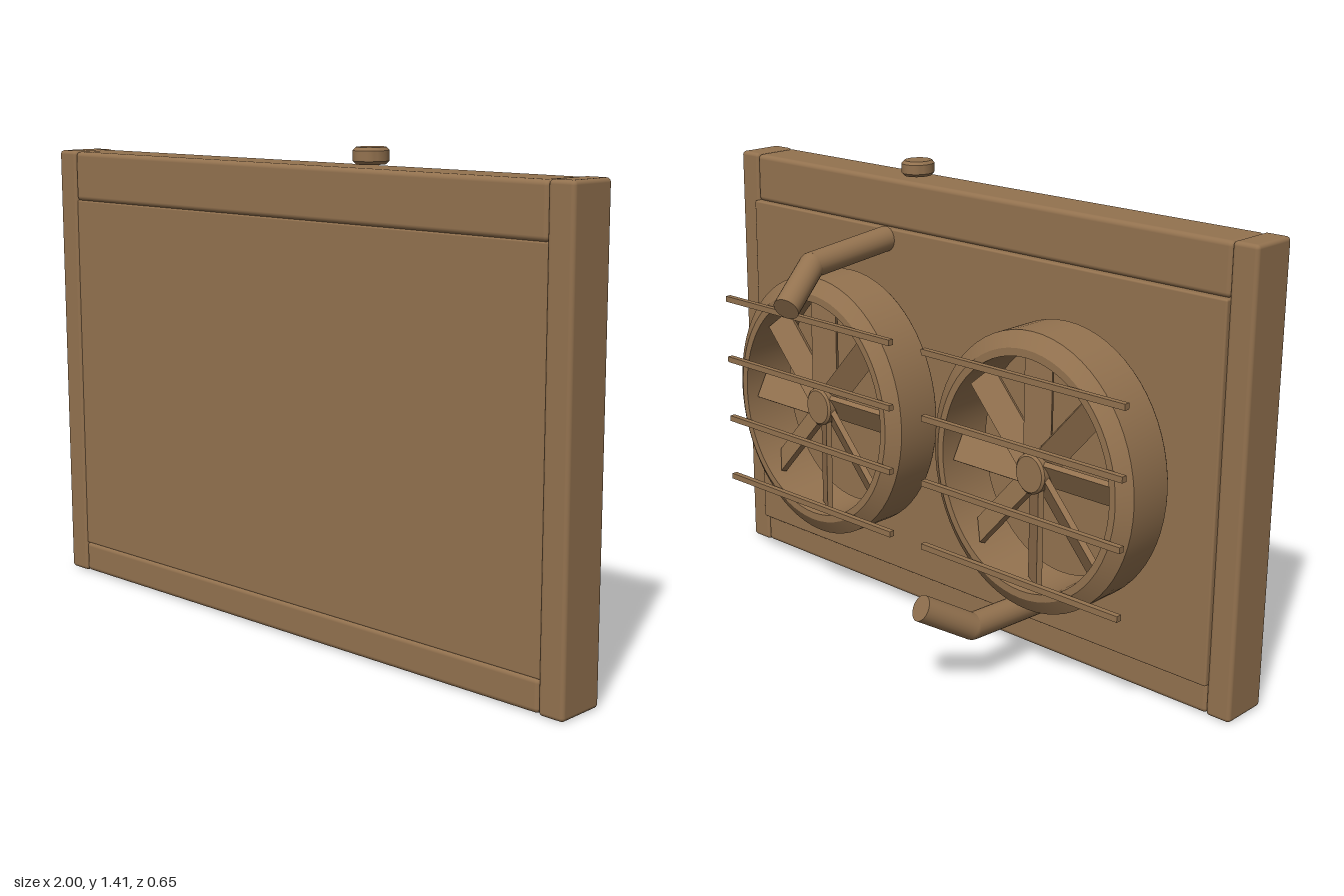
import * as THREE from 'three';
import { toCreasedNormals } from 'three/addons/utils/BufferGeometryUtils.js';
import { RoundedBoxGeometry } from 'three/addons/geometries/RoundedBoxGeometry.js';

const brown = new THREE.MeshStandardMaterial({ color: 0x93724f });
brown.name = 'brown';

function add(parent, name, geometry, x = 0, y = 0, z = 0) {
  const mesh = new THREE.Mesh(geometry, brown);
  mesh.name = name;
  mesh.position.set(x, y, z);
  parent.add(mesh);
  return mesh;
}

// Closed lathe profile [radius, distance toward the back], turned around the z axis
function turned(profile, sides = 48) {
  const lathe = new THREE.LatheGeometry(profile.map(([r, d]) => new THREE.Vector2(r, d)), sides);
  return toCreasedNormals(lathe.rotateX(-Math.PI / 2), 0.5);
}

// Bent hose made of straight lengths with a ball at each inner joint
function hose(name, points, radius) {
  const group = new THREE.Group();
  group.name = name;
  const pts = points.map((p) => new THREE.Vector3(...p));
  for (let i = 0; i < pts.length - 1; i++) {
    const dir = pts[i + 1].clone().sub(pts[i]);
    const mid = pts[i].clone().add(pts[i + 1]).multiplyScalar(0.5);
    const tube = add(group, 'hoseLength', new THREE.CylinderGeometry(radius, radius, dir.length(), 24), mid.x, mid.y, mid.z);
    tube.quaternion.setFromUnitVectors(new THREE.Vector3(0, 1, 0), dir.normalize());
    if (i > 0) add(group, 'hoseJoint', new THREE.SphereGeometry(radius, 24, 16), pts[i].x, pts[i].y, pts[i].z);
  }
  return group;
}

function coolingFan(side) {
  const fan = new THREE.Group();
  fan.name = side > 0 ? 'leftFan' : 'rightFan';
  fan.position.set(side * 0.432, 0.648, 0);
  fan.scale.x = 0.88; // slightly narrow oval

  // Open shroud with a chamfered rear rim
  add(fan, 'shroud', turned([
    [0.345, -0.122], [0.408, -0.122], [0.413, -0.115], [0.413, 0.033],
    [0.368, 0.063], [0.345, 0.063], [0.345, -0.122],
  ], 64));

  // Hub and pitched blades
  add(fan, 'hub', turned([[0, -0.03], [0.06, -0.03], [0.06, 0.03], [0.053, 0.037], [0, 0.037]], 32));
  const count = 8;
  for (let i = 0; i < count; i++) {
    const spoke = new THREE.Group();
    spoke.name = 'bladeMount';
    spoke.rotation.z = (i / count) * Math.PI * 2;
    add(spoke, 'blade', new THREE.BoxGeometry(0.085, 0.29, 0.018), 0, 0.19, 0).rotation.y = 0.5;
    fan.add(spoke);
  }
  return fan;
}

export function createModel() {
  const model = new THREE.Group();
  model.name = 'radiator';

  // Core and surrounding frame
  add(model, 'core', new RoundedBoxGeometry(1.85, 1.11, 0.163, 2, 0.006), 0, 0.648, 0.2365);
  add(model, 'topTank', new RoundedBoxGeometry(1.845, 0.152, 0.153, 3, 0.015), 0, 1.277, 0.2465);
  add(model, 'bottomRail', new RoundedBoxGeometry(1.845, 0.096, 0.153, 3, 0.015), 0, 0.05, 0.2465);
  for (const side of [1, -1]) {
    add(model, side > 0 ? 'leftPost' : 'rightPost',
      new RoundedBoxGeometry(0.08, 1.355, 0.154, 3, 0.012), side * 0.96, 0.6775, 0.2465);
  }

  // Filler cap with softened rims, a little oval
  const capProfile = [[0, -0.023], [0.044, -0.023], [0.053, -0.014], [0.053, 0.014], [0.044, 0.023], [0, 0.023]];
  const cap = add(model, 'fillerCap', turned(capProfile, 32).rotateX(Math.PI / 2), 0.27, 1.383, 0.247);
  cap.scale.x = 0.88;

  // Fans with guard bars behind them
  for (const side of [1, -1]) {
    model.add(coolingFan(side));
    for (let i = 0; i < 4; i++) {
      add(model, 'guardBar', new THREE.BoxGeometry(0.73, 0.018, 0.018), side * 0.43, 0.34 + i * 0.2, -0.08);
    }
  }

  // Upper and lower hoses
  model.add(hose('upperHose', [[0.32, 1.17, 0.16], [0.32, 1.14, -0.15], [0.267, 1.045, -0.302]], 0.039));
  model.add(hose('lowerHose', [[-0.325, 0.17, 0.16], [-0.325, 0.187, -0.15], [-0.27, 0.277, -0.302]], 0.039));

  return model;
}
